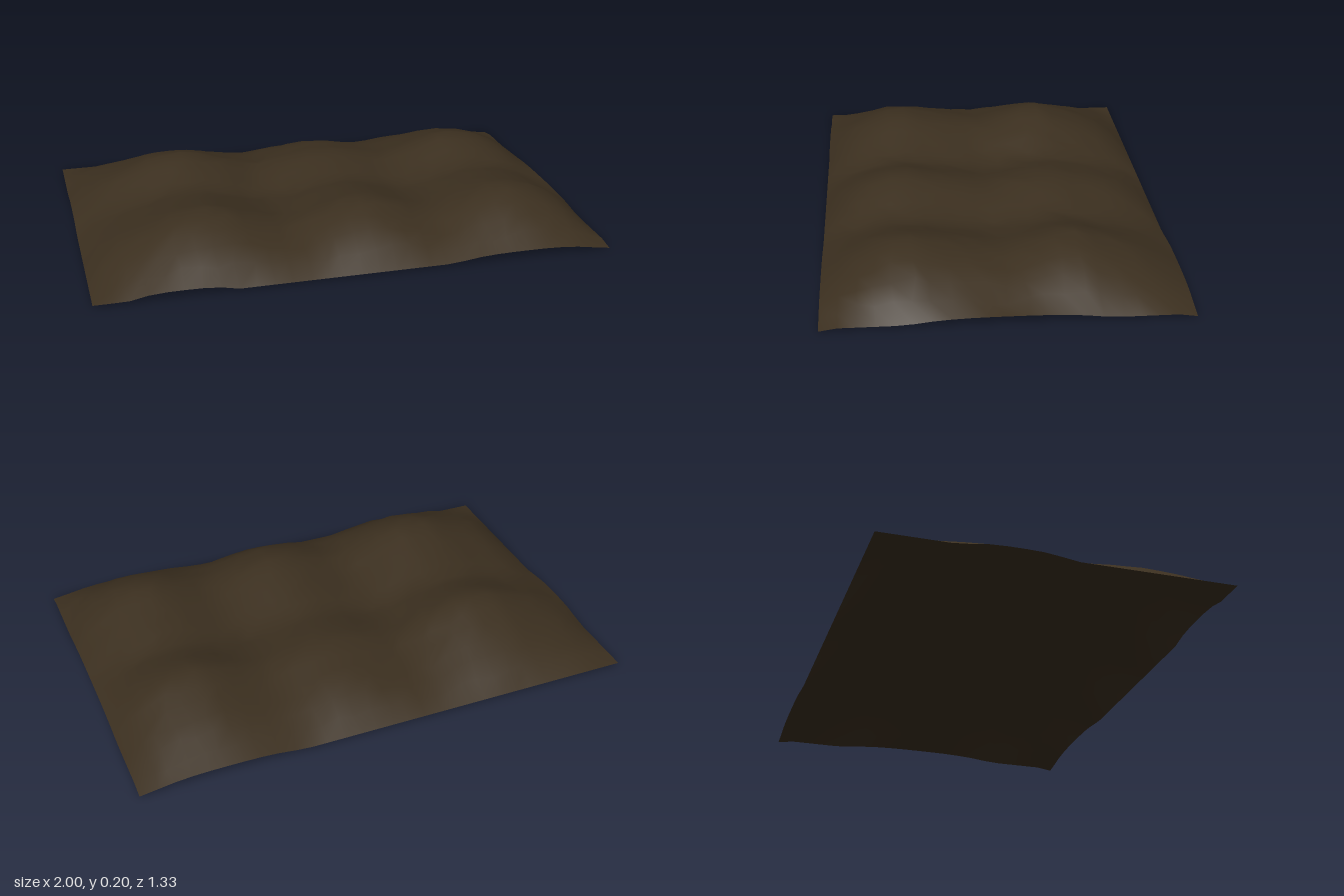
import * as THREE from 'three';

// height profiles across the width and the depth: [position, height]
const ACROSS = [[-1, 0.02], [-0.9, 0.09], [-0.8, 0.125], [-0.66, 0.18], [-0.57, 0.2], [-0.46, 0.19], [-0.24, 0.115],
  [-0.18, 0.11], [0.02, 0.175], [0.08, 0.182], [0.15, 0.175], [0.34, 0.11], [0.42, 0.115], [0.6, 0.175],
  [0.69, 0.183], [0.8, 0.155], [0.9, 0.105], [1, 0.02]];
const DEEP = [[-0.667, 0.02], [-0.58, 0.085], [-0.48, 0.13], [-0.38, 0.165], [-0.27, 0.2], [-0.2, 0.19],
  [-0.05, 0.14], [0, 0.13], [0.24, 0.178], [0.33, 0.198], [0.4, 0.19], [0.49, 0.16], [0.59, 0.1], [0.667, 0.02]];

function sample(profile, t) {
  for (let i = 1; i < profile.length; i++) {
    const [a, ya] = profile[i - 1], [b, yb] = profile[i];
    if (t <= b) return ya + (yb - ya) * Math.max(0, (t - a) / (b - a));
  }
  return profile[profile.length - 1][1];
}

const bump = (t, centre, width) => Math.max(0, 1 - Math.pow(Math.abs(t - centre) / width, 3));

// lifted stretches of the hem
function hemHeight(x, z) {
  let lift = 0;
  if (Math.abs(z) > 0.66) lift = Math.max(bump(x, 0.65, 0.28), z > 0 ? bump(x, -0.67, 0.2) : 0);
  else lift = x > 0 ? bump(z, 0, 0.36) : bump(z, -0.16, 0.2);
  const corner = Math.abs(z) > 0.66 && x > 0.99;
  return corner ? 0 : 0.01 + 0.02 * lift;
}

function createLumpySheet() {
  const nx = 30, nz = 20;
  const geometry = new THREE.PlaneGeometry(2, 1.334, nx, nz);
  geometry.rotateX(-Math.PI / 2);
  const p = geometry.attributes.position;
  let seed = 7;
  const random = () => (seed = (seed * 16807) % 2147483647) / 2147483647 - 0.5;

  for (let i = 0; i < p.count; i++) {
    let x = p.getX(i), z = p.getZ(i);
    const edge = Math.abs(x) > 0.999 || Math.abs(z) > 0.6665;
    if (edge) {
      p.setY(i, hemHeight(x, z));
      continue;
    }
    x += random() * 0.025;
    z += random() * 0.025;
    // two rows of three soft lumps, the rear middle one lower
    let y = sample(ACROSS, x) * sample(DEEP, z) / 0.2;
    y -= 0.03 * Math.exp(-((x - 0.08) ** 2 + (z + 0.27) ** 2) / 0.03);
    // two shallow folds meeting behind the middle
    if (z > -0.25 && z < 0) {
      for (const slope of [-0.24, 0.56]) {
        const offset = Math.abs(x - (-0.24 + slope * (z + 0.25)));
        y -= 0.012 * Math.max(0, 1 - offset / 0.05);
      }
    }
    p.setXYZ(i, x, Math.max(0.012, y + random() * 0.005), z);
  }
  geometry.computeVertexNormals();

  const material = new THREE.MeshStandardMaterial({ color: 0x3b2f1f, side: THREE.DoubleSide });
  const sheet = new THREE.Mesh(geometry, material);
  sheet.name = 'lumpySheet';
  return sheet;
}

export function createModel() {
  const group = new THREE.Group();
  group.name = 'lumpyGround';
  group.add(createLumpySheet());
  return group;
}
